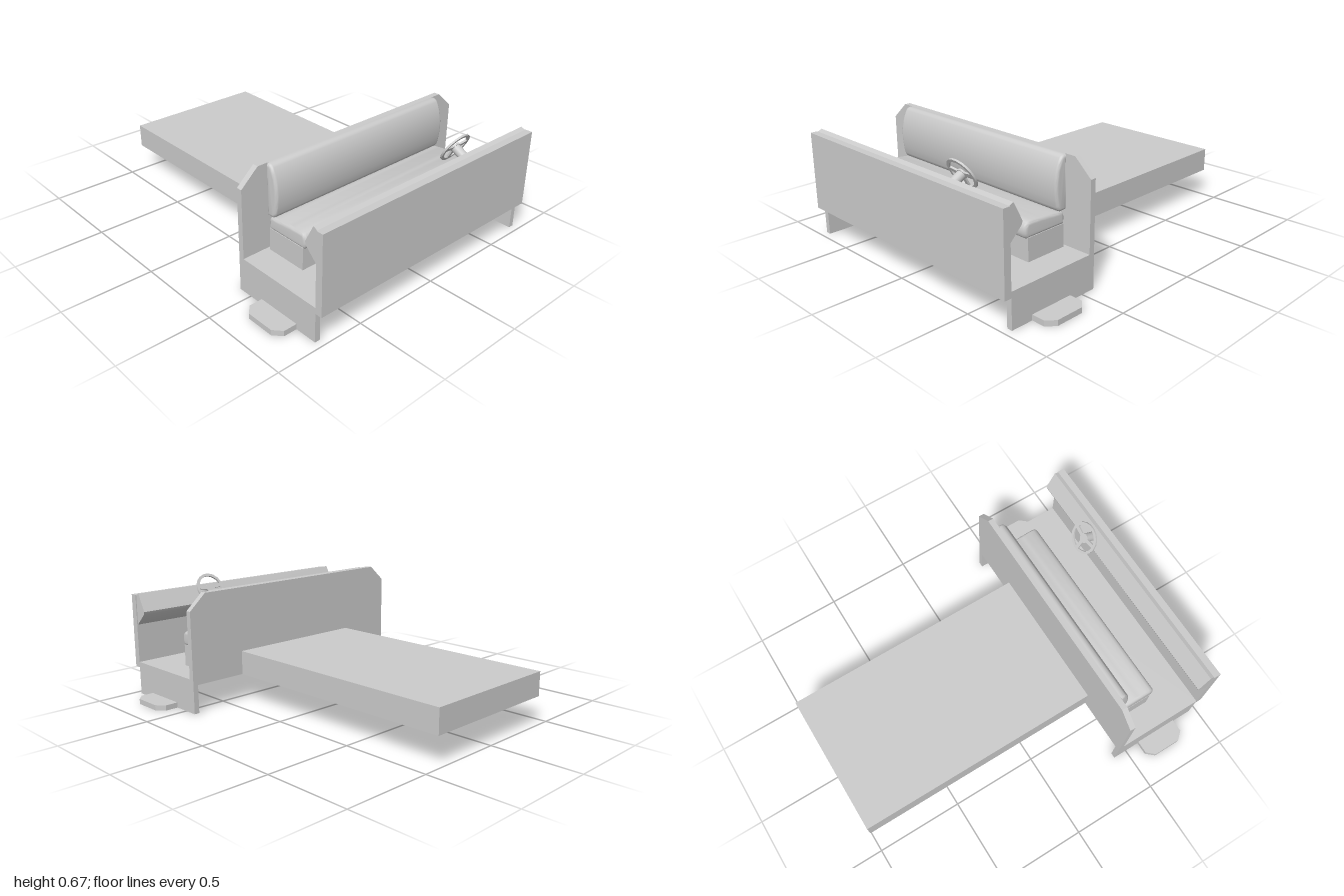
import * as THREE from 'three';
import { toCreasedNormals } from 'three/addons/utils/BufferGeometryUtils.js';

const mat = new THREE.MeshStandardMaterial({ color: 0xcccccc });

function add(parent, name, geometry) {
  const mesh = new THREE.Mesh(geometry, mat);
  mesh.name = name;
  parent.add(mesh);
  return mesh;
}

// Box given by its limits on each axis
function box(parent, name, x0, x1, y0, y1, z0, z1) {
  const g = new THREE.BoxGeometry(x1 - x0, y1 - y0, z1 - z0);
  g.translate((x0 + x1) / 2, (y0 + y1) / 2, (z0 + z1) / 2);
  return add(parent, name, g);
}

const polygon = (pts) => new THREE.Shape(pts.map(([x, y]) => new THREE.Vector2(x, y)));

// Side profile in (z, y) swept across the width, with optional rounded ends
function acrossWidth(shape, halfWidth, bevel = 0) {
  const g = new THREE.ExtrudeGeometry(shape, {
    depth: 2 * (halfWidth - bevel), curveSegments: 8, bevelEnabled: bevel > 0,
    bevelSize: bevel, bevelOffset: -bevel, bevelThickness: bevel, bevelSegments: 4,
  });
  g.translate(0, 0, bevel - halfWidth);
  g.rotateY(-Math.PI / 2);
  return toCreasedNormals(g, 0.7);
}

function steeringWheel() {
  const group = new THREE.Group();
  group.name = 'steeringWheel';
  // Rim, hub and three spokes are what remains between three sector holes
  const disc = new THREE.Shape().absarc(0, 0, 0.092, 0, Math.PI * 2);
  const spokes = [10, 170, 270, 370].map(THREE.MathUtils.degToRad);
  for (let i = 0; i < 3; i++) {
    const a = spokes[i], b = spokes[i + 1], hole = new THREE.Path();
    hole.absarc(0, 0, 0.075, a + 0.14, b - 0.14, false);
    hole.absarc(0, 0, 0.028, b - 0.36, a + 0.36, true);
    hole.closePath();
    disc.holes.push(hole);
  }
  const rim = new THREE.ExtrudeGeometry(disc, { depth: 0.01, bevelEnabled: false, curveSegments: 9 });
  rim.translate(0, 0, -0.005);
  add(group, 'wheelRim', toCreasedNormals(rim, 0.7));
  const column = new THREE.CylinderGeometry(0.025, 0.025, 0.085, 16);
  column.rotateX(Math.PI / 2).translate(0, 0, 0.042);
  add(group, 'steeringColumn', column);
  group.position.set(0.308, 0.59, 0.845);
  group.rotation.x = 0.51;
  return group;
}

export function createModel() {
  const model = new THREE.Group();
  model.name = 'cabAndBed';

  // Body panels
  box(model, 'flatBed', -0.415, 0.415, 0.16, 0.295, -1, 0.42);
  box(model, 'floor', -0.75, 0.75, 0.16, 0.192, 0.42, 0.96);
  box(model, 'frontPanel', -0.75, 0.75, 0.16, 0.59, 0.96, 1);

  // Rear wall with clipped top corners
  const wall = polygon([[-0.75, 0.16], [0.75, 0.16], [0.75, 0.57], [0.72, 0.597],
    [0.65, 0.66], [-0.65, 0.66], [-0.72, 0.597], [-0.75, 0.57]]);
  add(model, 'rearWall', new THREE.ExtrudeGeometry(wall, { depth: 0.032, bevelEnabled: false }))
    .position.z = 0.42;

  // Side skirts and clipped steps
  for (const s of [-1, 1]) {
    const side = s > 0 ? 'left' : 'right';
    box(model, side + 'Skirt', s * 0.735 - 0.015, s * 0.735 + 0.015, 0, 0.192, 0.42, 0.96);
    const step = polygon([[0.75, -0.835], [0.825, -0.835], [0.865, -0.79],
      [0.865, -0.63], [0.825, -0.585], [0.75, -0.585]].map(([x, z]) => [s * x, z]));
    const g = new THREE.ExtrudeGeometry(step, { depth: 0.03, bevelEnabled: false });
    g.rotateX(-Math.PI / 2);
    add(model, side + 'Step', g);
  }

  // Dashboard
  add(model, 'dashboard', acrossWidth(polygon([[0.965, 0.588], [0.936, 0.6],
    [0.884, 0.5], [0.89, 0.483], [0.965, 0.41]]), 0.745));
  model.add(steeringWheel());

  // Bench seat
  box(model, 'seatBase', -0.6, 0.6, 0.19, 0.315, 0.472, 0.71);
  const cushion = new THREE.Shape();
  cushion.moveTo(0.475, 0.308);
  cushion.lineTo(0.71, 0.308);
  cushion.bezierCurveTo(0.735, 0.312, 0.74, 0.392, 0.695, 0.394);
  cushion.quadraticCurveTo(0.6, 0.392, 0.48, 0.378);
  cushion.quadraticCurveTo(0.46, 0.37, 0.465, 0.325);
  cushion.quadraticCurveTo(0.466, 0.308, 0.475, 0.308);
  add(model, 'seatCushion', acrossWidth(cushion, 0.6, 0.018));
  const back = new THREE.Shape();
  back.moveTo(0.452, 0.38);
  back.lineTo(0.49, 0.378);
  back.quadraticCurveTo(0.508, 0.382, 0.514, 0.41);
  back.bezierCurveTo(0.532, 0.49, 0.53, 0.58, 0.49, 0.645);
  back.quadraticCurveTo(0.478, 0.663, 0.452, 0.66);
  back.closePath();
  add(model, 'seatBackrest', acrossWidth(back, 0.6, 0.016));

  return model;
}
